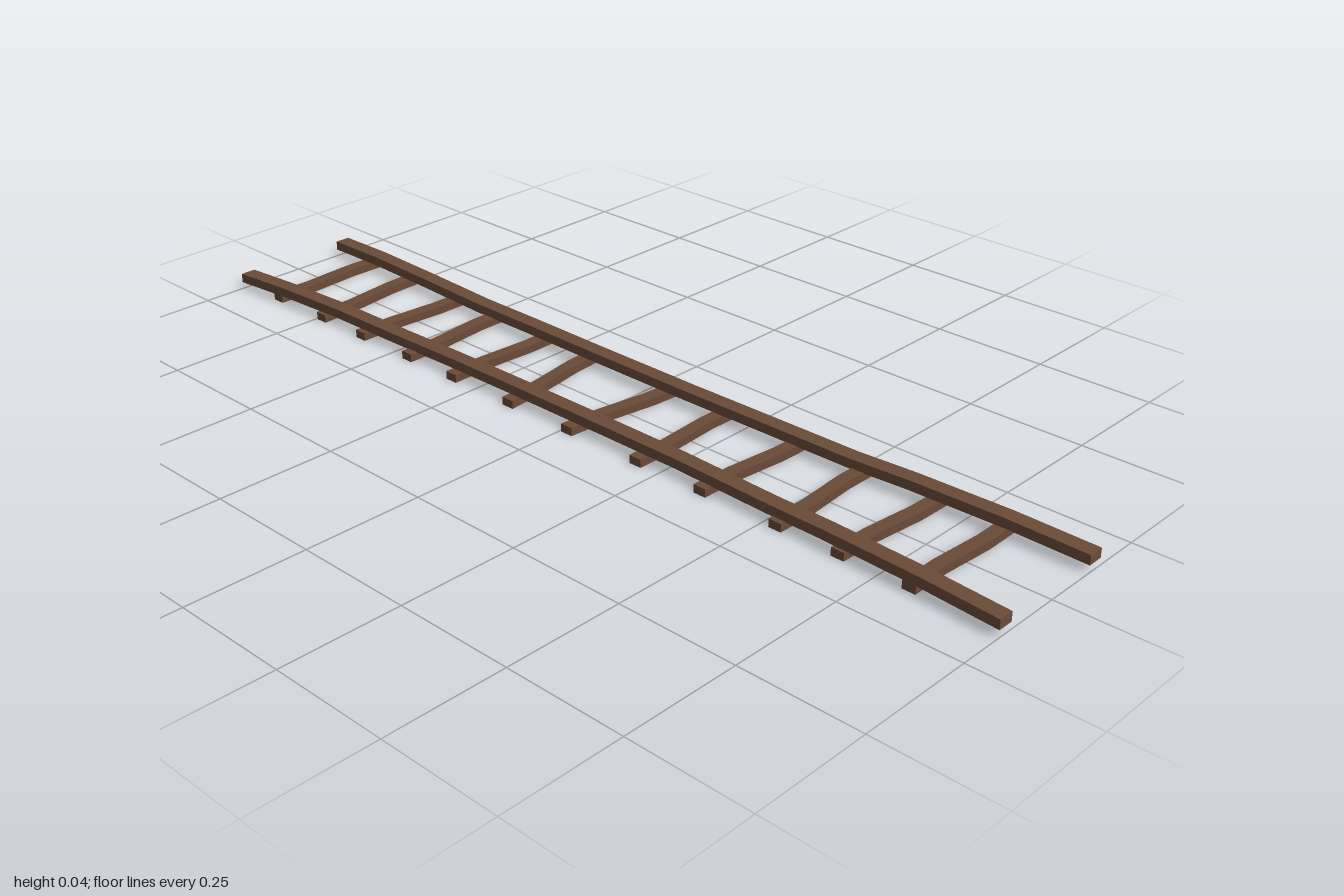
import * as THREE from 'three';

// Square-cut timber swept through stations [x, y, z]; "across" is the width direction.
function beam(stations, across, width, height, material, name) {
  const pos = [], idx = [];
  const w = across.clone().multiplyScalar(width / 2);
  for (const [x, y, z] of stations) {
    for (const [a, b] of [[-1, -1], [1, -1], [1, 1], [-1, 1]]) {
      pos.push(x + w.x * a, y + b * height / 2, z + w.z * a);
    }
  }
  for (let i = 0; i < stations.length - 1; i++) {
    for (let k = 0; k < 4; k++) {
      const a = i * 4 + k, b = i * 4 + (k + 1) % 4;
      idx.push(a, b, b + 4, a, b + 4, a + 4);
    }
  }
  const e = (stations.length - 1) * 4;
  idx.push(0, 2, 1, 0, 3, 2, e, e + 1, e + 2, e, e + 2, e + 3);
  const indexed = new THREE.BufferGeometry();
  indexed.setAttribute('position', new THREE.Float32BufferAttribute(pos, 3));
  indexed.setIndex(idx);
  const geo = indexed.toNonIndexed();
  geo.computeVertexNormals();
  const mesh = new THREE.Mesh(geo, material);
  mesh.name = name;
  return mesh;
}

export function createModel() {
  const group = new THREE.Group();
  group.name = 'ladder';
  const railWood = new THREE.MeshStandardMaterial({ color: 0x6a4c37 });
  railWood.name = 'rail brown';
  const rungWood = new THREE.MeshStandardMaterial({ color: 0x6b4a38 });
  rungWood.name = 'rung brown';

  // Long rails, bowed inward at the middle and slightly uneven in height
  const zs = [-1, -0.86, -0.69, -0.5, -0.34, -0.16, 0.1, 0.28, 0.5, 0.63, 0.83, 1];
  const ys = [0.026, 0.029, 0.029, 0.026, 0.028, 0.028, 0.028, 0.028, 0.026, 0.029, 0.029, 0.026];
  const leftX = [0.13, 0.128, 0.122, 0.117, 0.114, 0.112, 0.111, 0.113, 0.118, 0.123, 0.129, 0.13];
  const rightX = [-0.138, -0.128, -0.117, -0.11, -0.108, -0.106, -0.106, -0.107, -0.113, -0.119, -0.128, -0.138];
  const X = new THREE.Vector3(1, 0, 0);
  for (const [xs, name] of [[leftX, 'leftRail'], [rightX, 'rightRail']]) {
    group.add(beam(zs.map((z, i) => [xs[i], ys[i], z]), X, 0.034, 0.02, railWood, name));
  }

  // Rough rungs under the rails: z at the right end and at the left end
  const rungs = [
    [-0.885, -0.888], [-0.733, -0.752], [-0.6, -0.59], [-0.45, -0.463],
    [-0.312, -0.307], [-0.146, -0.177], [0.018, 0.05], [0.198, 0.193],
    [0.357, 0.373], [0.532, 0.524], [0.669, 0.685], [0.817, 0.823],
  ];
  const Z = new THREE.Vector3(0, 0, -1);
  rungs.forEach(([z0, z1], i) => {
    const stations = [0, 0.3, 0.7, 1].map((t, k) => {
      const bend = (k === 1 ? 0.003 : k === 2 ? -0.003 : 0) * Math.sign(z0 - z1);
      return [-0.143 + 0.295 * t, 0.0095, z0 + (z1 - z0) * t + bend];
    });
    group.add(beam(stations, Z, 0.028, 0.017, rungWood, `rung${i + 1}`));
  });

  // Rails run along +z with width on +x, so their winding must face outward
  group.traverse((m) => {
    if (!m.isMesh) return;
    const p = m.geometry.attributes.position;
    const v = [0, 1, 2].map((i) => new THREE.Vector3().fromBufferAttribute(p, i));
    const n = v[1].clone().sub(v[0]).cross(v[2].clone().sub(v[0]));
    if (n.y > 0) { // the first face is the underside
      for (let i = 0; i < p.count; i += 3) {
        const a = new THREE.Vector3().fromBufferAttribute(p, i + 1);
        const b = new THREE.Vector3().fromBufferAttribute(p, i + 2);
        p.setXYZ(i + 1, b.x, b.y, b.z);
        p.setXYZ(i + 2, a.x, a.y, a.z);
      }
      m.geometry.computeVertexNormals();
    }
  });
  return group;
}
